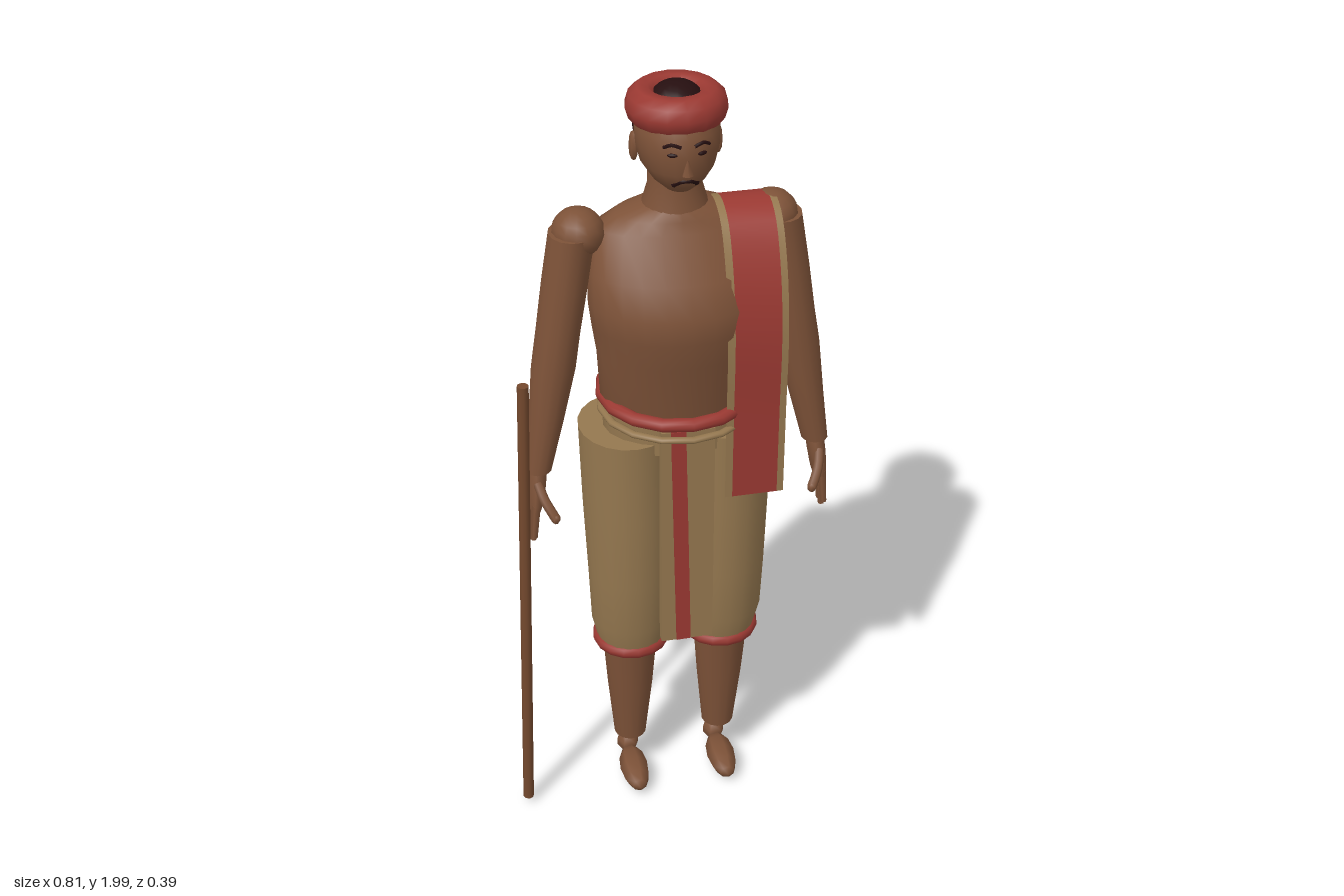
import * as THREE from 'three';

const mat = (name, color, side = THREE.FrontSide) => {
  const m = new THREE.MeshStandardMaterial({ color, side });
  m.name = name;
  return m;
};
const skin = mat('skin', 0x7d5238);
const red = mat('red cloth', 0x9a3932, THREE.DoubleSide);
const tan = mat('tan cloth', 0x94774f, THREE.DoubleSide);
const hairMat = mat('dark hair', 0x260f10);
const wood = mat('wood', 0x74492e);

// Closed body through horizontal elliptical rings, top to bottom: [y, cx, cz, rx, rz]
function loft(rows, segs = 20) {
  const first = rows[0], last = rows[rows.length - 1];
  const all = [[first[0], first[1], first[2], 0, 0], first, ...rows, last, [last[0], last[1], last[2], 0, 0]];
  const pos = [], idx = [];
  all.forEach(([y, cx, cz, rx, rz], i) => {
    for (let j = 0; j < segs; j++) {
      const a = (j / segs) * Math.PI * 2;
      pos.push(cx + rx * Math.cos(a), y, cz + rz * Math.sin(a));
      if (i === all.length - 1) continue;
      const p = i * segs + j, q = i * segs + ((j + 1) % segs);
      idx.push(p, q, p + segs, q, q + segs, p + segs);
    }
  });
  const g = new THREE.BufferGeometry();
  g.setAttribute('position', new THREE.Float32BufferAttribute(pos, 3));
  g.setIndex(idx);
  g.computeVertexNormals();
  return g;
}

// Ribbon following a (z, y) path between two x positions
function ribbon(path, x0, x1) {
  const pos = [], idx = [];
  path.forEach((p, i) => {
    pos.push(x0, p.y, p.x, x1, p.y, p.x);
    if (i) {
      const k = i * 2;
      idx.push(k - 2, k - 1, k, k - 1, k + 1, k);
    }
  });
  const g = new THREE.BufferGeometry();
  g.setAttribute('position', new THREE.Float32BufferAttribute(pos, 3));
  g.setIndex(idx);
  g.computeVertexNormals();
  return g;
}

export function createModel() {
  const model = new THREE.Group();
  const body = new THREE.Group();
  body.name = 'figure';
  body.position.x = 0.02;
  model.add(body);

  const add = (name, geo, material, x = 0, y = 0, z = 0, parent = body) => {
    const m = new THREE.Mesh(geo, material);
    m.name = name;
    m.position.set(x, y, z);
    parent.add(m);
    return m;
  };
  const ball = (name, material, x, y, z, rx, ry, rz, w = 14, h = 10) => {
    const m = add(name, new THREE.SphereGeometry(1, w, h), material, x, y, z);
    m.scale.set(rx, ry, rz);
    return m;
  };
  const ring = (name, material, x, y, z, r, tube, sy = 1, segs = 16) => {
    const g = new THREE.TorusGeometry(r, tube, 10, segs);
    g.rotateX(Math.PI / 2);
    g.scale(1, sy, 1);
    return add(name, g, material, x, y, z);
  };
  const rod = (name, material, a, b, r0, r1, sides, parent = body) => {
    const d = b.clone().sub(a);
    const m = add(name, new THREE.CylinderGeometry(r1, r0, d.length(), sides), material, 0, 0, 0, parent);
    m.position.copy(a).add(b).multiplyScalar(0.5);
    m.quaternion.setFromUnitVectors(new THREE.Vector3(0, 1, 0), d.normalize());
    return m;
  };
  const V = (x, y, z) => new THREE.Vector3(x, y, z);

  // Torso and neck
  add('torso', loft([
    [1.7, 0, -0.02, 0.07, 0.068], [1.678, 0, -0.022, 0.14, 0.085], [1.65, 0, -0.022, 0.188, 0.095],
    [1.555, 0, 0.012, 0.212, 0.134], [1.48, 0, 0.025, 0.215, 0.147], [1.42, 0, 0.028, 0.208, 0.147],
    [1.345, 0, 0.018, 0.196, 0.137], [1.2, 0, 0.01, 0.187, 0.12], [1.12, 0, 0, 0.14, 0.115],
    [1.05, 0, 0, 0.06, 0.1],
  ], 24), skin);
  add('neck', loft([[1.8, 0, -0.02, 0.062, 0.06], [1.74, 0, -0.02, 0.064, 0.062], [1.68, 0, -0.02, 0.082, 0.075]]), skin);

  // Head and face
  add('head', loft([
    [1.975, 0, 0, 0.04, 0.045], [1.95, 0, 0, 0.075, 0.085], [1.9, 0, 0, 0.096, 0.112],
    [1.86, 0, 0, 0.097, 0.114], [1.815, 0, 0.005, 0.085, 0.106], [1.78, 0, 0.01, 0.062, 0.083],
    [1.755, 0, 0.012, 0.035, 0.05],
  ]), skin);
  ball('hair', hairMat, 0, 1.885, -0.033, 0.095, 0.088, 0.089, 18, 12);
  ball('crownHair', hairMat, 0, 1.95, 0, 0.062, 0.045, 0.068);
  ring('turban', red, 0, 1.94, -0.005, 0.077, 0.04, 1.12);
  const nose = add('nose', new THREE.ConeGeometry(0.014, 0.045, 6), skin, 0, 1.84, 0.112);
  nose.scale.z = 0.7;
  const stroke = (name, pts, r) =>
    add(name, new THREE.TubeGeometry(new THREE.CatmullRomCurve3(pts), 8, r, 6), hairMat);
  stroke('moustache', [V(-0.027, 1.786, 0.083), V(-0.013, 1.799, 0.096), V(0, 1.801, 0.099),
    V(0.013, 1.799, 0.096), V(0.027, 1.786, 0.083)], 0.007);
  for (const s of [-1, 1]) {
    stroke('eyebrow', [V(s * 0.015, 1.886, 0.112), V(s * 0.035, 1.892, 0.106), V(s * 0.052, 1.884, 0.096)], 0.004);
    const eye = ball('eye', hairMat, s * 0.034, 1.867, 0.106, 0.012, 0.005, 0.004, 8, 6);
    eye.rotation.y = s * 0.35;
    ball('ear', skin, s * 0.097, 1.845, -0.012, 0.011, 0.036, 0.02, 8, 6);
  }

  // Waist cloth, belt and cord
  add('waistCloth', loft([[1.195, 0, -0.005, 0.183, 0.13], [1.09, 0, -0.005, 0.178, 0.13]]), tan);
  ring('belt', red, 0, 1.21, 0, 0.18, 0.017, 1);
  ring('waistCord', tan, 0, 1.17, 0, 0.184, 0.01, 0.8);

  // Front pleat with its stripe
  add('frontPanel', new THREE.BoxGeometry(0.13, 0.62, 0.025), tan, -0.005, 0.87, 0.145);
  const stripe = add('frontPanelStripe', new THREE.BoxGeometry(0.036, 0.62, 0.006), red, -0.022, 0.872, 0.159);
  stripe.rotation.z = 0.024;

  for (const s of [-1, 1]) {
    // Legs, cuffs and feet
    add('trouserLeg', loft([
      [1.12, s * 0.122, -0.01, 0.118, 0.132], [0.9, s * 0.12, -0.005, 0.114, 0.128],
      [0.7, s * 0.119, 0.004, 0.107, 0.113], [0.55, s * 0.118, 0.004, 0.102, 0.101],
      [0.47, s * 0.117, 0, 0.085, 0.085],
    ]), tan);
    ring('trouserCuff', red, s * 0.117, 0.476, -0.002, 0.08, 0.02, 1);
    add('shin', loft([
      [0.52, s * 0.12, 0, 0.075, 0.07], [0.32, s * 0.12, -0.007, 0.06, 0.058],
      [0.135, s * 0.12, -0.016, 0.042, 0.043],
    ], 14), skin);
    ball('heel', skin, s * 0.12, 0.06, -0.055, 0.03, 0.032, 0.034, 6, 5);
    const foot = ball('foot', skin, s * 0.12, 0.042, 0.037, 0.038, 0.085, 0.036, 7, 6);
    foot.rotation.x = Math.PI / 2;

    // Arm and hand
    ball('shoulder', skin, s * 0.228, 1.645, -0.01, 0.062, 0.058, 0.066);
    add('arm', loft([
      [1.65, s * 0.243, -0.005, 0.055, 0.063], [1.52, s * 0.264, -0.003, 0.055, 0.064],
      [1.4, s * 0.283, 0, 0.053, 0.062], [1.31, s * 0.297, 0.005, 0.054, 0.056],
      [1.17, s * 0.321, 0.015, 0.043, 0.046], [1.035, s * 0.346, 0.022, 0.033, 0.035],
    ], 14), skin);
    add('palm', loft([
      [1.045, s * 0.346, 0.022, 0.024, 0.028], [1, s * 0.351, 0.026, 0.023, 0.038],
      [0.95, s * 0.357, 0.028, 0.019, 0.041], [0.925, s * 0.36, 0.028, 0.014, 0.038],
    ], 10), skin);
    for (let i = 0; i < 4; i++) {
      const z = -0.001 + i * 0.019, tip = [0.865, 0.845, 0.84, 0.858][i];
      rod('finger', skin, V(s * 0.359, 0.95, z), V(s * 0.367, tip, z + 0.002), 0.011, 0.008, 6);
    }
    const thumb = new THREE.CatmullRomCurve3([V(s * 0.352, 1.01, 0.05), V(s * 0.342, 0.98, 0.08),
      V(s * 0.328, 0.955, 0.1), V(s * 0.32, 0.94, 0.107)]);
    add('thumb', new THREE.TubeGeometry(thumb, 6, 0.012, 6), skin);
    ball('thumbTip', skin, s * 0.32, 0.94, 0.107, 0.012, 0.014, 0.012, 6, 5);
  }

  // Cloth over the left shoulder, with borders
  const path = new THREE.CatmullRomCurve3([
    [0.155, 0.975], [0.156, 1.2], [0.157, 1.42], [0.125, 1.57], [0.065, 1.675], [-0.01, 1.7], [-0.075, 1.67],
    [-0.118, 1.58], [-0.125, 1.3], [-0.148, 1.16], [-0.158, 1.05],
  ].map(([z, y]) => V(z, y, 0))).getPoints(36);
  const shawl = new THREE.Group();
  shawl.name = 'shoulderCloth';
  model.add(shawl);
  add('shoulderClothMiddle', ribbon(path, 0.125, 0.236), red, 0, 0, 0, shawl);
  add('shoulderClothInnerBorder', ribbon(path, 0.107, 0.125), tan, 0, 0, 0, shawl);
  add('shoulderClothOuterBorder', ribbon(path, 0.236, 0.252), tan, 0, 0, 0, shawl);

  // Walking staff
  rod('staff', wood, V(-0.394, 0.025, 0.066), V(-0.364, 1.315, 0.092), 0.014, 0.014, 8, model);

  return model;
}
